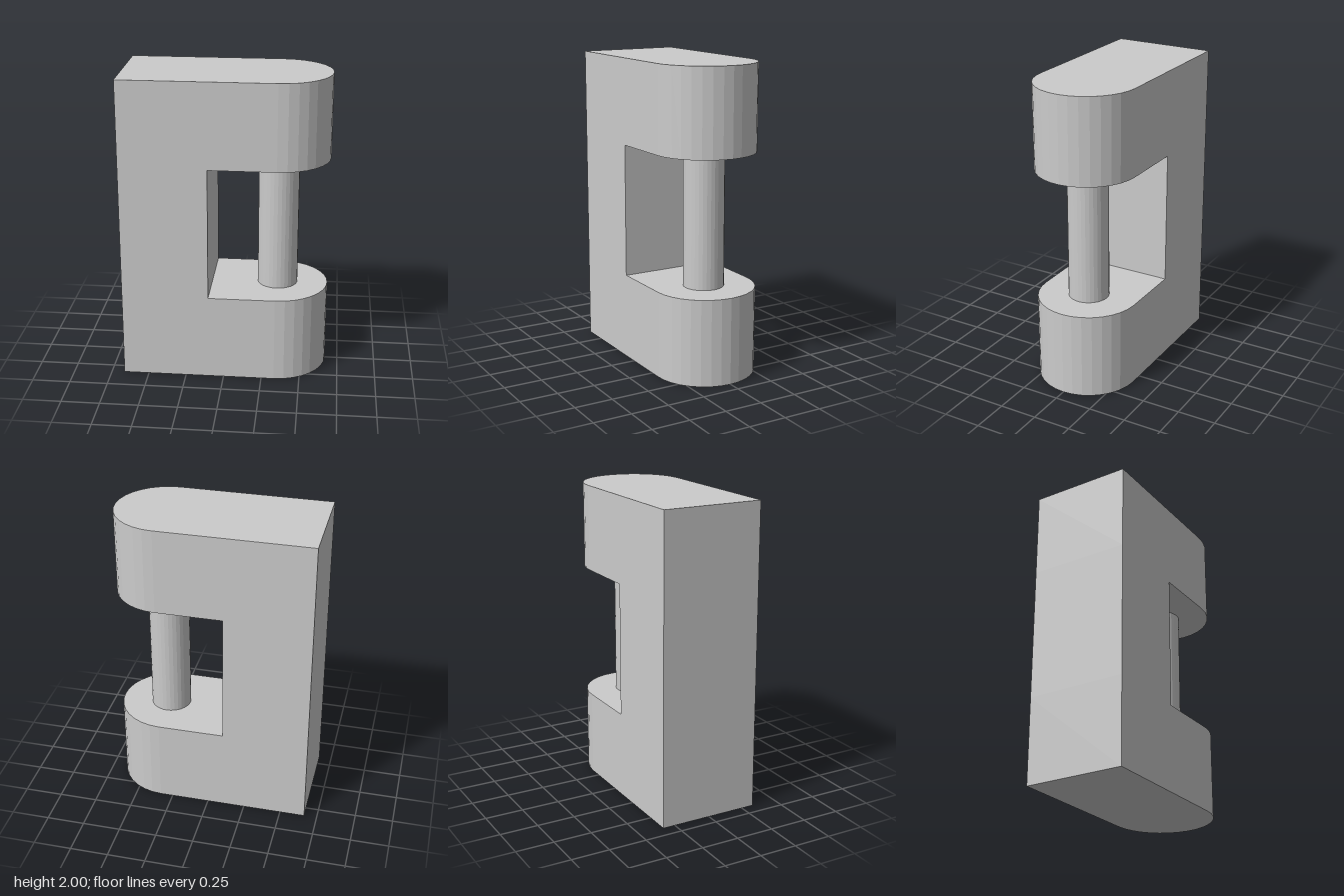
import * as THREE from 'three';

const HEIGHT = 2, HALF_X = 0.665, RADIUS = 0.332;
const GAP_BOTTOM = 0.567, GAP_TOP = 1.44, GAP_X = -0.1;
const PIN_X = HALF_X - RADIUS, PIN_RADIUS = 0.132;

export function createModel() {
  const group = new THREE.Group();
  const material = new THREE.MeshStandardMaterial({ color: 0xcccccc, flatShading: true });
  const gap = GAP_TOP - GAP_BOTTOM;
  const gapMiddle = (GAP_TOP + GAP_BOTTOM) / 2;

  const add = (name, geometry, x, y) => {
    const mesh = new THREE.Mesh(geometry, material);
    mesh.name = name;
    mesh.position.set(x, y, 0);
    group.add(mesh);
  };

  // Arm outline: square at the spine, half round (16 facets) at the pin
  const outline = new THREE.Shape();
  outline.moveTo(-HALF_X, -RADIUS);
  outline.lineTo(PIN_X, -RADIUS);
  outline.absarc(PIN_X, 0, RADIUS, -Math.PI / 2, Math.PI / 2, false);
  outline.lineTo(-HALF_X, RADIUS);
  outline.closePath();

  const arm = (depth) =>
    new THREE.ExtrudeGeometry(outline, { depth, bevelEnabled: false, curveSegments: 8 })
      .rotateX(-Math.PI / 2);

  // Lower and upper arms
  add('lowerArm', arm(GAP_BOTTOM), 0, 0);
  add('upperArm', arm(HEIGHT - GAP_TOP), 0, GAP_TOP);

  // Spine joining the arms
  const spineWidth = GAP_X + HALF_X;
  add('spine', new THREE.BoxGeometry(spineWidth, gap, RADIUS * 2), -HALF_X + spineWidth / 2, gapMiddle);

  // Pin across the opening
  add('pin', new THREE.CylinderGeometry(PIN_RADIUS, PIN_RADIUS, gap, 32, 1, true), PIN_X, gapMiddle);

  return group;
}
